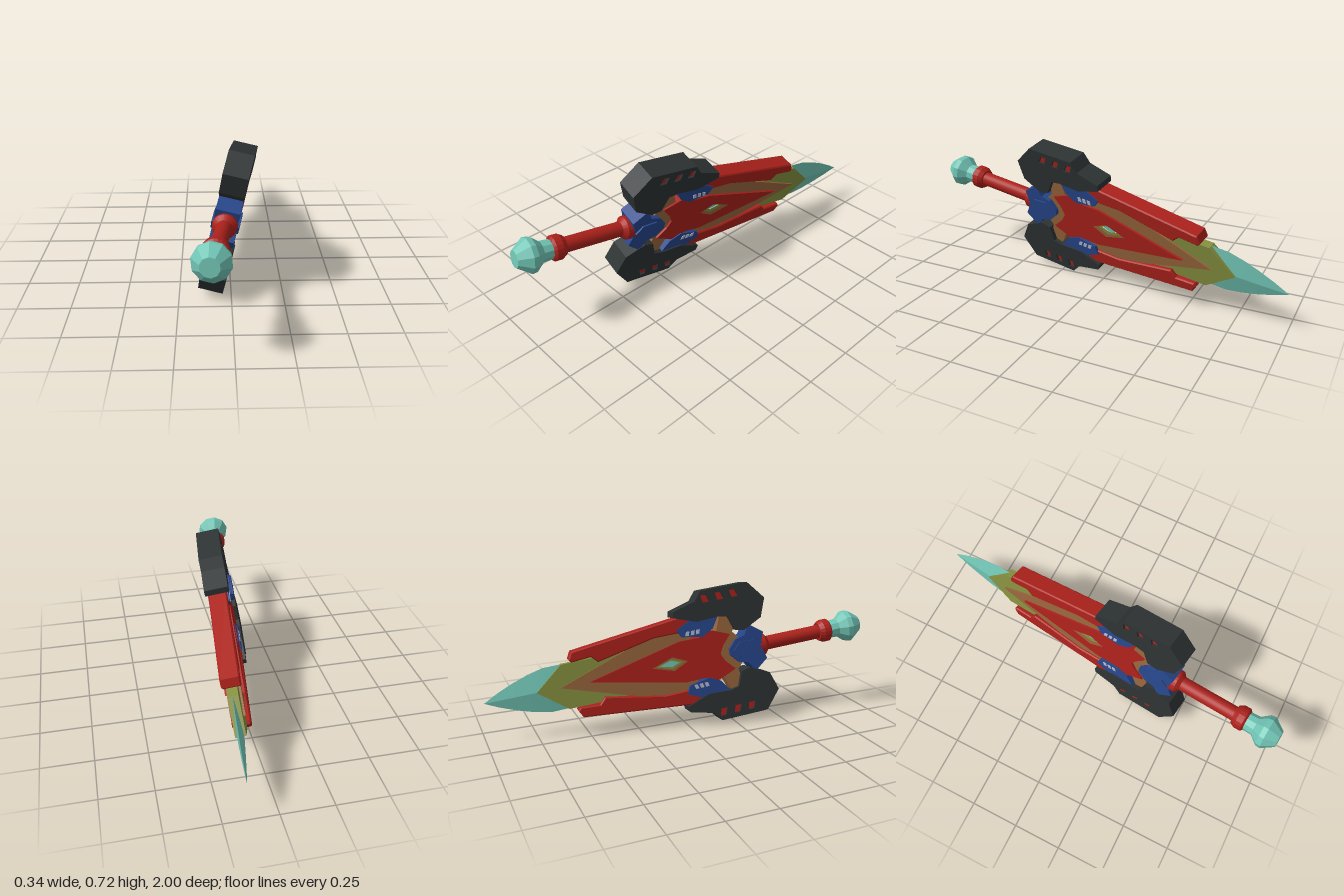
import * as THREE from 'three';

const mats = {};
for (const [name, color] of Object.entries({
  red: 0xac211b, blue: 0x26468c, black: 0x2d3233, brown: 0x97653c,
  olive: 0x85903f, teal: 0x72c6b6, pale: 0xb4b8cc,
})) mats[name] = new THREE.MeshStandardMaterial({ color, flatShading: true });
const smoothRed = new THREE.MeshStandardMaterial({ color: 0xac211b });

// Local frame: x runs along the weapon to the tip, y across the guard, z through the thickness.
const toPath = (Type, pts) => new Type(pts.map(([x, y]) => new THREE.Vector2(x, y)));
const flip = pts => pts.map(([x, y]) => [x, -y]);
const mirrored = half => [...half, ...flip(half).reverse().filter(([, y]) => y !== 0)];

function add(parent, name, geometry, material) {
  const mesh = new THREE.Mesh(geometry, material);
  mesh.name = name;
  parent.add(mesh);
  return mesh;
}

// Flat plate of half thickness t, centred on the weapon's plane, with chamfered rims
function plate(parent, name, pts, t, material, holes = [], bevel = 0) {
  const shape = toPath(THREE.Shape, pts);
  for (const h of holes) shape.holes.push(toPath(THREE.Path, h));
  const geometry = new THREE.ExtrudeGeometry(shape, {
    depth: 2 * (t - bevel), bevelEnabled: bevel > 0, bevelThickness: bevel,
    bevelSize: bevel, bevelOffset: -bevel, bevelSegments: 1,
  });
  geometry.translate(0, 0, -(t - bevel));
  return add(parent, name, geometry, material);
}

// Turned part: profile points are [position along x, radius]
function turned(parent, name, profile, sides, material) {
  const pts = profile.map(([x, r]) => new THREE.Vector2(r, x));
  const geometry = new THREE.LatheGeometry(pts, sides);
  geometry.rotateZ(-Math.PI / 2);
  return add(parent, name, geometry, material);
}

const diamond = (x0, x1, x2, h) => [[x0, 0], [x1, h], [x2, 0], [x1, -h]];

function buildBlade(g) {
  // thin diamond-section edge
  const tip = turned(g, 'bladeEdge',
    [[0.42, 0], [0.42, 0.09], [0.6, 0.113], [0.7, 0.113], [0.78, 0.095], [0.86, 0.068], [0.94, 0.035], [1.01, 0]],
    4, mats.teal);
  tip.scale.z = 0.16;

  // stacked layers, each with a smaller window than the one above
  plate(g, 'innerLayer', mirrored([[-0.1, 0.1], [0.45, 0.114], [0.612, 0.113], [0.753, 0]]), 0.025,
    mats.olive, [diamond(0.018, 0.06, 0.126, 0.017)]);
  plate(g, 'middleLayer', mirrored([[-0.06, 0.163], [0.13, 0.168], [0.635, 0]]), 0.035,
    mats.brown, [diamond(0, 0.058, 0.145, 0.026)]);
  plate(g, 'outerLayer', mirrored([
    [-0.2, 0], [-0.22, 0.04], [-0.268, 0.092], [-0.16, 0.136], [-0.1, 0.106], [0.005, 0.107], [0.49, 0],
  ]), 0.047, mats.red, [diamond(-0.022, 0.055, 0.166, 0.036)]);
  plate(g, 'gem', diamond(0.01, 0.06, 0.135, 0.022), 0.018, mats.teal);
}

function buildSide(g, side) {
  const m = pts => (side > 0 ? pts : flip(pts));

  // long bar beside the blade
  plate(g, 'sideBar', m([
    [-0.1, 0.15], [-0.05, 0.228], [0, 0.228], [0.553, 0.167], [0.572, 0.13], [0.56, 0.115],
    [0.46, 0.122], [0.43, 0.09], [0.13, 0.15],
  ]), 0.046, mats.red, [], 0.006);

  // link between bar and guard, with three small lamps
  plate(g, 'link', m([
    [-0.23, 0.216], [-0.08, 0.21], [0.01, 0.168], [-0.012, 0.127], [-0.12, 0.108], [-0.18, 0.139],
  ]), 0.052, mats.blue);
  for (let i = 0; i < 3; i++) {
    const x = -0.105 + i * 0.028;
    plate(g, 'lamp', m([[x, 0.128], [x + 0.018, 0.128], [x + 0.012, 0.15], [x - 0.006, 0.15]]), 0.055, mats.pale);
  }

  // heavy guard block with three recessed windows
  const windows = [-0.32, -0.242, -0.164].map(x => m([
    [x - 0.022, 0.28], [x + 0.014, 0.28], [x + 0.022, 0.318], [x - 0.008, 0.318],
  ]));
  plate(g, 'guardBlock', m([
    [-0.481, 0.245], [-0.4, 0.342], [-0.146, 0.342], [-0.108, 0.294], [0.014, 0.262], [0.018, 0.232],
    [-0.1, 0.19], [-0.219, 0.196], [-0.268, 0.186], [-0.295, 0.11], [-0.345, 0.1], [-0.445, 0.148],
  ]), 0.06, mats.black, windows);
  for (const w of windows) plate(g, 'guardWindow', w, 0.048, mats.red);
}

function buildGuard(g) {
  plate(g, 'crosspiece', mirrored([
    [-0.33, 0], [-0.32, 0.06], [-0.285, 0.1], [-0.31, 0.19], [-0.235, 0.21], [-0.2, 0.12],
    [-0.14, 0.1], [-0.1, 0],
  ]), 0.037, mats.brown);
  plate(g, 'hub', mirrored([
    [-0.43, 0.03], [-0.445, 0.07], [-0.372, 0.125], [-0.34, 0.072], [-0.29, 0.06], [-0.25, 0.015],
  ]), 0.058, mats.blue);
  plate(g, 'hubFace', mirrored([[-0.42, 0], [-0.385, 0.04], [-0.31, 0.045], [-0.265, 0]]), 0.066, mats.blue);
}

function buildHandle(g) {
  turned(g, 'grip', [[-0.8, 0.037], [-0.42, 0.037]], 24, smoothRed);
  turned(g, 'gripFlange', [[-0.475, 0.036], [-0.455, 0.058], [-0.42, 0.06]], 24, mats.red);
  turned(g, 'endRing',
    [[-0.838, 0], [-0.838, 0.05], [-0.828, 0.061], [-0.795, 0.061], [-0.772, 0.048], [-0.772, 0.03]], 20, mats.red);
  turned(g, 'pommel',
    [[-1.01, 0], [-1.01, 0.043], [-0.95, 0.086], [-0.925, 0.083], [-0.885, 0.05], [-0.83, 0.047]], 10, mats.teal);
}

export function createModel() {
  const sword = new THREE.Group();
  sword.name = 'sword';
  buildBlade(sword);
  buildSide(sword, 1);
  buildSide(sword, -1);
  buildGuard(sword);
  buildHandle(sword);

  // tilt the whole weapon into its resting pose
  const along = new THREE.Vector3(0.121, -0.126, -0.985).normalize();
  const through = new THREE.Vector3().crossVectors(along, new THREE.Vector3(0.215, 0.967, -0.097)).normalize();
  const across = new THREE.Vector3().crossVectors(through, along);
  sword.quaternion.setFromRotationMatrix(new THREE.Matrix4().makeBasis(along, across, through));
  sword.position.set(0.022, 0.326, 0);

  const model = new THREE.Group();
  model.name = 'model';
  model.add(sword);
  return model;
}
